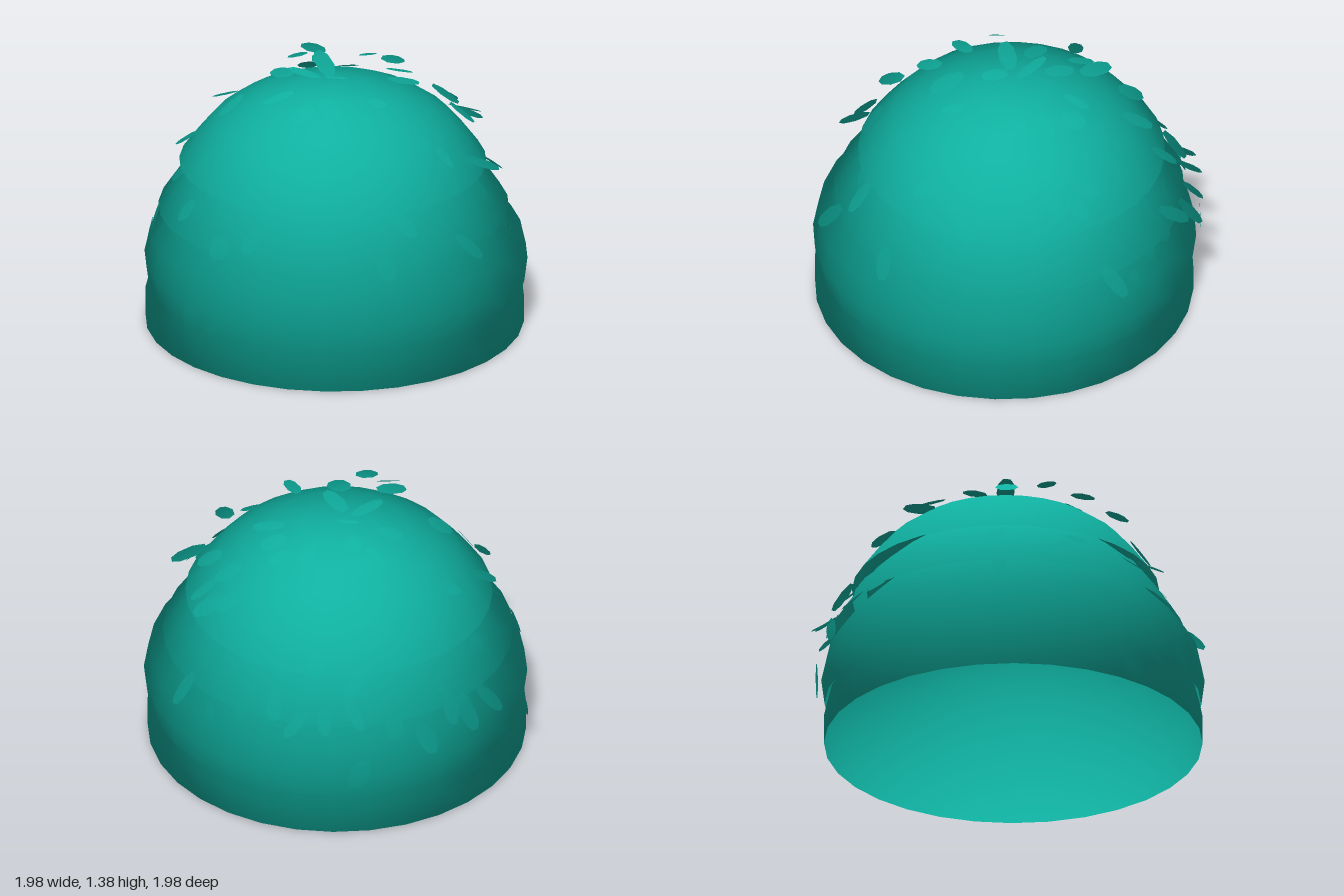
import * as THREE from 'three';

const teal = new THREE.MeshStandardMaterial({ color: 0x0fb0a0, side: THREE.DoubleSide });

// Tiers: name, centre x, centre z, profile as [radius, height] from rim to crown
const TIERS = [
  ['bottomTier', 0.025, 0.02, [[0.955, 0], [0.955, 0.15], [0.932, 0.24], [0.87, 0.36], [0.75, 0.5], [0.6, 0.6], [0.42, 0.68], [0.2, 0.72], [0, 0.73]]],
  ['lowerMiddleTier', 0.03, 0.015, [[0.95, 0.22], [0.967, 0.35], [0.938, 0.48], [0.845, 0.61], [0.73, 0.73], [0.6, 0.83], [0.4, 0.92], [0.2, 0.96], [0, 0.97]]],
  ['upperMiddleTier', 0.01, 0, [[0.885, 0.61], [0.805, 0.73], [0.715, 0.85], [0.58, 0.97], [0.4, 1.06], [0.2, 1.1], [0, 1.12]]],
  ['topTier', 0, -0.01, [[0.775, 0.85], [0.69, 0.965], [0.6, 1.07], [0.49, 1.15], [0.36, 1.21], [0.19, 1.247], [0, 1.257]]],
];

// Outer outline of the whole bush, used to seat the leaves
const OUTLINE = [[0.955, 0], [0.96, 0.22], [0.957, 0.35], [0.935, 0.48], [0.87, 0.61], [0.78, 0.75], [0.74, 0.87],
  [0.69, 0.965], [0.6, 1.07], [0.49, 1.15], [0.36, 1.21], [0.19, 1.247], [0, 1.257]];

// Leaves placed from above (x, z)
const UPPER = [-0.4, -0.73, -0.2, -0.62, -0.2, -0.77, -0.37, -0.5, -0.27, -0.35, -0.31, -0.25, -0.16, -0.2,
  0.02, -0.38, 0.14, -0.42, 0.23, -0.31, 0.31, -0.19, -0.08, -0.08, -0.12, 0.07, 0.05, 0.06, -0.28, -0.01,
  -0.63, -0.07, -0.14, 0.33, 0.13, 0.29, 0.33, 0.16, 0.04, 0.43, 0.36, -0.6, 0.46, -0.59, 0.42, -0.45,
  0.53, -0.5, 0.57, -0.33, 0.69, 0.13, 0.78, -0.12, 0.9, 0.28, 0.65, 0.53, 0.64, 0.7, 0.5, -0.82,
  -0.2, 0.9, -0.03, 0.88, -0.47, 0.72, -0.91, -0.2, -0.87, -0.36, -0.8, -0.43, -0.74, -0.6,
  -0.43, -0.8, -0.3, -0.88, -0.16, -0.93, -0.03, -0.9, 0.02, 0.65, -0.68, 0.26, -0.43, 0.28];
// Leaves on the front (x, y) and on the left flank (z, y)
const FRONT = [-0.66, 0.81, -0.48, 0.7, -0.02, 0.78, 0.22, 0.75, 0.37, 0.74, 0.41, 0.63, 0.44, 0.58,
  0.5, 0.83, 0.64, 0.75, -0.36, 0.26, -0.23, 0.28, 0.19, 0.95, -0.46, 0.95, -0.76, 0.58];
const FLANK = [0.29, 0.67, -0.1, 0.79, -0.1, 0.72, -0.1, 0.95, 0.13, 0.92, 0.14, 1.12, -0.2, 0.54, -0.25, 0.48, -0.67, 0.7];

let seed = 7;
function random() {
  seed = (seed * 16807) % 2147483647;
  return seed / 2147483647;
}
const spread = (a) => (random() * 2 - 1) * a;

// Look up one outline coordinate from the other (0 = radius, 1 = height)
function outline(value, from) {
  for (let i = OUTLINE.length - 1; i > 0; i--) {
    const a = OUTLINE[i - 1], b = OUTLINE[i];
    if ((value - a[from]) * (value - b[from]) <= 0) {
      const t = (value - a[from]) / (b[from] - a[from]);
      return a[1 - from] + (b[1 - from] - a[1 - from]) * t;
    }
  }
  return 0;
}

// Flat leaf: a long hexagon with blunt tips
function leafGeometry() {
  const half = [[0.4, -1], [0.9, -0.55], [1, 0.3], [0.45, 1]];
  const mirrored = half.map(([x, y]) => [-x, y]).reverse();
  return new THREE.ShapeGeometry(new THREE.Shape([...half, ...mirrored].map(([x, y]) => new THREE.Vector2(x, y))));
}

// Foliage mesh whose normals radiate from the middle of the bush, so all parts shade as one ball
function foliage(name, geometry) {
  const position = geometry.attributes.position, normal = geometry.attributes.normal;
  const v = new THREE.Vector3();
  for (let i = 0; i < position.count; i++) {
    v.fromBufferAttribute(position, i);
    v.y -= 0.6;
    v.normalize();
    normal.setXYZ(i, v.x, v.y, v.z);
  }
  const mesh = new THREE.Mesh(geometry, teal);
  mesh.name = name;
  return mesh;
}

export function createModel() {
  const group = new THREE.Group();

  // Stacked open domes
  for (const [name, x, z, profile] of TIERS) {
    const points = profile.map(([r, y]) => new THREE.Vector2(r, y));
    group.add(foliage(name, new THREE.LatheGeometry(points, 32).translate(x, 0, z)));
  }

  // Loose leaves, long axis pointing away from the crown
  const leaves = new THREE.Group();
  leaves.name = 'leaves';
  group.add(leaves);
  function addLeaf(x, y, z, normal) {
    normal.normalize();
    const across = new THREE.Vector3(z, 0, -x).normalize();
    const along = new THREE.Vector3().crossVectors(normal, across);
    const pose = new THREE.Object3D();
    pose.position.set(x, y, z);
    pose.quaternion.setFromRotationMatrix(new THREE.Matrix4().makeBasis(across, along, normal));
    pose.rotateZ(spread(0.5));
    pose.rotateX(spread(0.2));
    pose.rotateY(spread(0.2));
    pose.scale.set(0.045 + spread(0.01), 0.078 + spread(0.015), 1);
    pose.updateMatrix();
    leaves.add(foliage('leaf', leafGeometry().applyMatrix4(pose.matrix)));
  }

  // Upper leaves: lifted outer ends at the crown, nearly level around it, sloping and hovering further out
  for (let i = 0; i < UPPER.length; i += 2) {
    const [x, z] = [UPPER[i], UPPER[i + 1]];
    const r = Math.hypot(x, z);
    let lean = 0.85, y = outline(r * (x < -0.5 ? 0.97 : 0.91), 0) + 0.02;
    if (r < 0.2) {
      lean = -3;
      y = 1.335;
    } else if (r < 0.5) {
      lean = 0.5;
      y = 1.31 - r * 0.1 + spread(0.02);
    }
    addLeaf(x, y, z, new THREE.Vector3(x * lean, 1, z * lean));
  }

  // Side leaves lie on the surface
  const addSideLeaf = (x, y, z) => addLeaf(x * 1.01, y, z * 1.01, new THREE.Vector3(x, Math.max(0, y - 0.3), z));
  const depth = (a, y) => Math.sqrt(Math.max(0, outline(y, 1) ** 2 - a * a));
  for (let i = 0; i < FRONT.length; i += 2) {
    addSideLeaf(FRONT[i], FRONT[i + 1], depth(FRONT[i], FRONT[i + 1]));
  }
  for (let i = 0; i < FLANK.length; i += 2) {
    addSideLeaf(depth(FLANK[i], FLANK[i + 1]), FLANK[i + 1], FLANK[i]);
  }
  addSideLeaf(-0.945, 0.33, 0.14);
  // Back and right flank
  for (let i = 0; i < 12; i++) {
    const angle = Math.PI * (1 + 0.8 * (i + random()) / 12);
    const y = 0.35 + random() * 0.5;
    const r = outline(y, 1);
    addSideLeaf(Math.cos(angle) * r, y, Math.sin(angle) * r);
  }
  return group;
}
